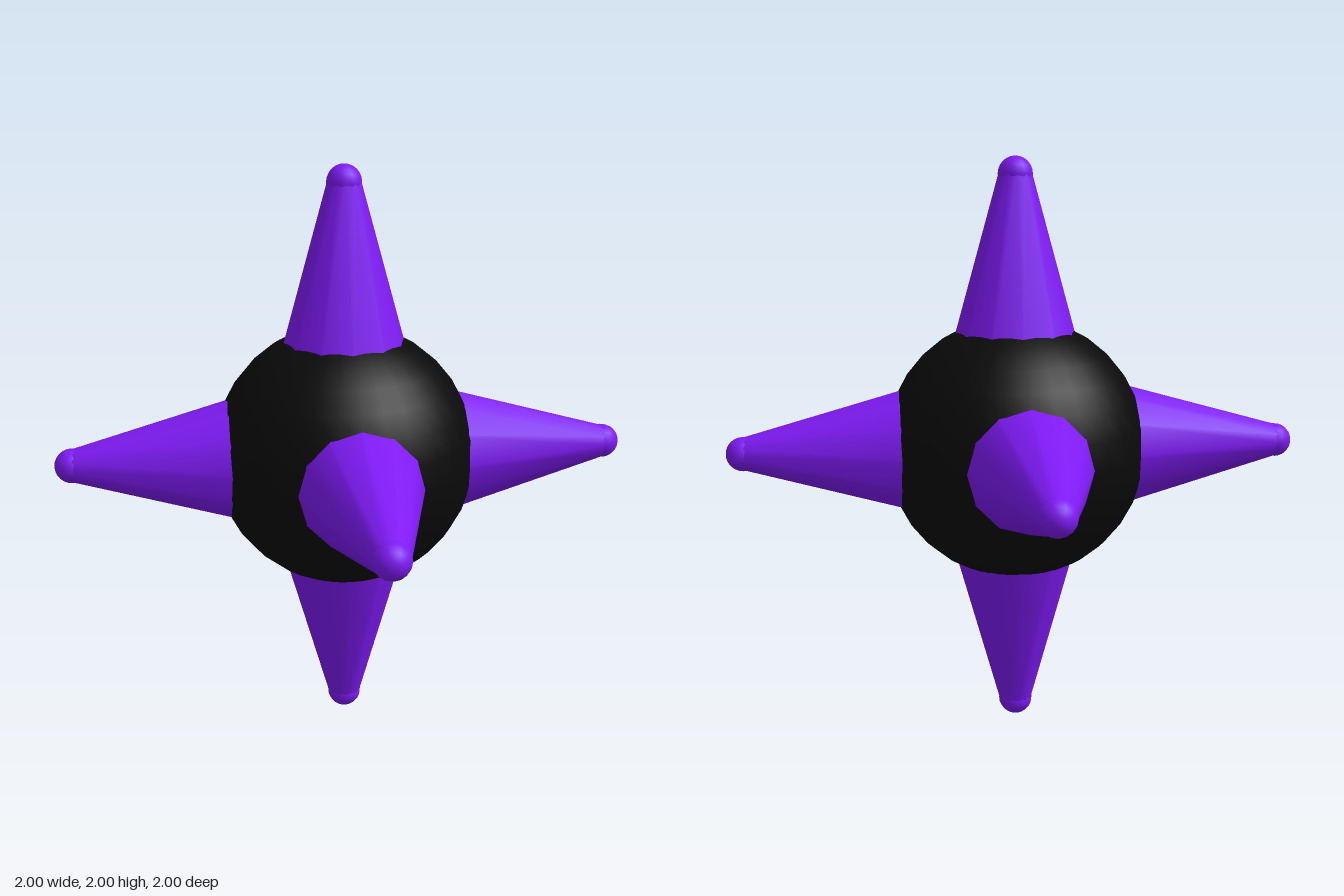
import * as THREE from 'three';

const CENTER_Y = 1;
const TIP_RADIUS = 0.06;
const TIP_CENTER = 1 - TIP_RADIUS;
const SPIKE_START = 0.2; // hidden inside the ball

export function createModel() {
  const model = new THREE.Group();
  model.name = 'spikedBall';
  const black = new THREE.MeshStandardMaterial({ color: 0x0a0a0a });
  const purple = new THREE.MeshStandardMaterial({ color: 0x7f1af5 });

  // Central ball
  const body = new THREE.Mesh(new THREE.SphereGeometry(0.457, 32, 16), black);
  body.name = 'body';
  body.position.y = CENTER_Y;
  model.add(body);

  // Tapered spike with a round tip, pointing along +y
  const length = TIP_CENTER - SPIKE_START;
  const coneGeometry = new THREE.CylinderGeometry(0.058, 0.265, length, 12);
  coneGeometry.translate(0, SPIKE_START + length / 2, 0);
  const tipGeometry = new THREE.SphereGeometry(TIP_RADIUS, 16, 12);
  tipGeometry.translate(0, TIP_CENTER, 0);

  // Six spikes, one along each axis direction
  const up = new THREE.Vector3(0, 1, 0);
  const directions = {
    top: [0, 1, 0], bottom: [0, -1, 0],
    left: [1, 0, 0], right: [-1, 0, 0],
    front: [0, 0, 1], back: [0, 0, -1],
  };
  for (const [side, direction] of Object.entries(directions)) {
    const spike = new THREE.Group();
    spike.name = `${side}Spike`;
    const cone = new THREE.Mesh(coneGeometry, purple);
    cone.name = `${side}SpikeCone`;
    const tip = new THREE.Mesh(tipGeometry, purple);
    tip.name = `${side}SpikeTip`;
    spike.add(cone, tip);
    spike.position.y = CENTER_Y;
    spike.quaternion.setFromUnitVectors(up, new THREE.Vector3(...direction));
    model.add(spike);
  }
  return model;
}
